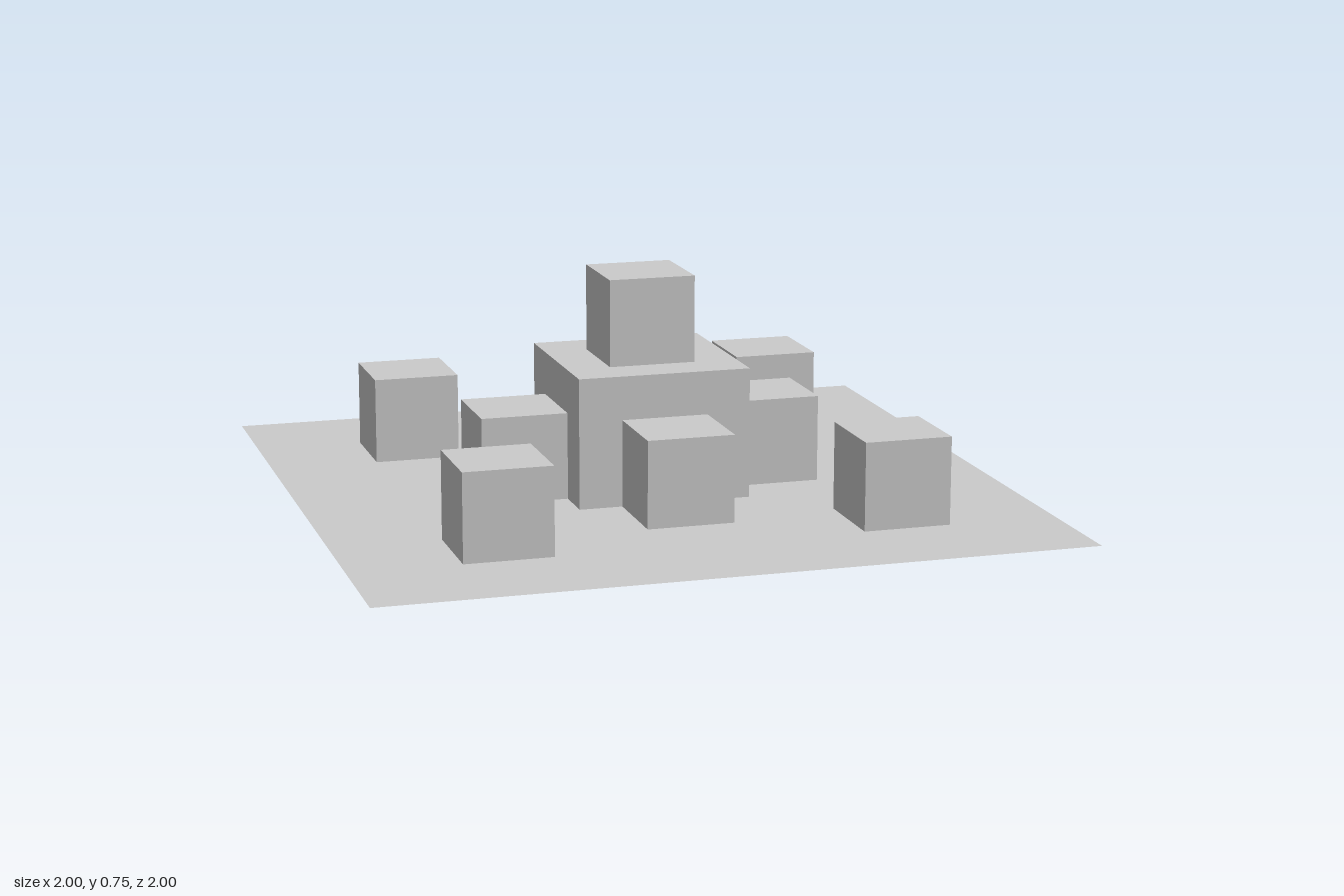
import * as THREE from 'three';

export function createModel() {
  const model = new THREE.Group();
  const material = new THREE.MeshStandardMaterial({ color: 0xcccccc, flatShading: true });
  const groundMaterial = material.clone();
  groundMaterial.side = THREE.DoubleSide;

  const addCube = (name, size, x, y, z) => {
    const cube = new THREE.Mesh(new THREE.BoxGeometry(size, size, size), material);
    cube.name = name;
    cube.position.set(x, y, z);
    model.add(cube);
  };

  // Thin ground sheet, crossed by the lower part of the central block
  const ground = new THREE.Mesh(new THREE.PlaneGeometry(2, 2).rotateX(-Math.PI / 2), groundMaterial);
  ground.name = 'groundSheet';
  ground.position.y = 0.125;
  model.add(ground);

  // Central block with a smaller cube on top
  addCube('centralBlock', 0.5, 0, 0.25, 0);
  addCube('topCube', 0.25, 0, 0.625, 0);

  // Cubes against the four sides of the central block
  const sides = { left: [1, 0], right: [-1, 0], front: [0, 1], back: [0, -1] };
  for (const [side, [x, z]] of Object.entries(sides)) {
    addCube(side + 'SideCube', 0.25, x * 0.375, 0.25, z * 0.375);
  }

  // Free-standing cubes towards the corners
  for (const [sx, xName] of [[1, 'Left'], [-1, 'Right']]) {
    for (const [sz, zName] of [[1, 'front'], [-1, 'back']]) {
      addCube(zName + xName + 'CornerCube', 0.25, sx * 0.5625, 0.25, sz * 0.5625);
    }
  }

  return model;
}
